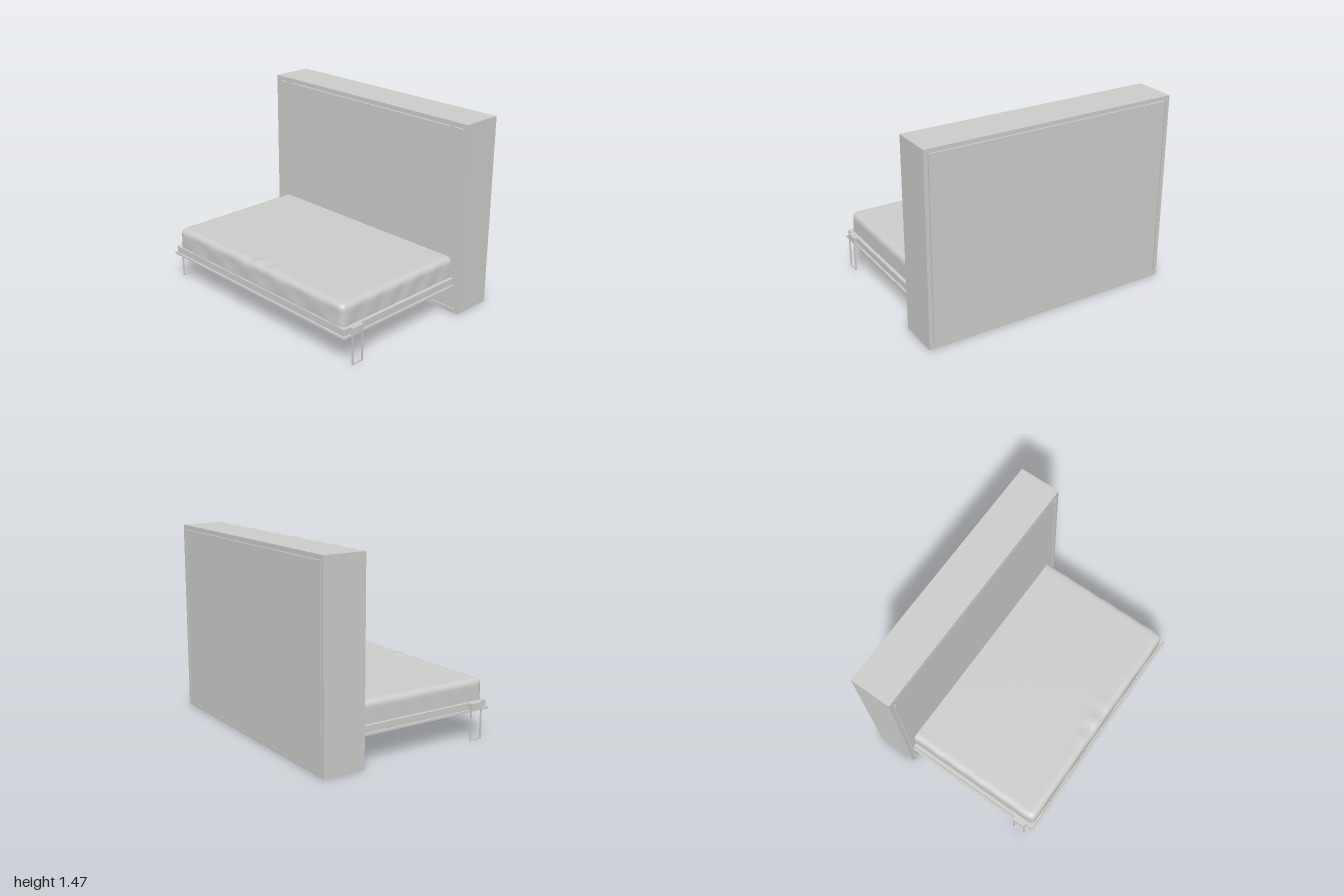
import * as THREE from 'three';
import { mergeVertices } from 'three/addons/utils/BufferGeometryUtils.js';

const paint = new THREE.MeshStandardMaterial({ color: 0xcbcbc9 });
paint.name = 'light grey';

// Box given by its lower and upper bounds on each axis
function slab(parent, name, [x0, x1], [y0, y1], [z0, z1]) {
  const mesh = new THREE.Mesh(new THREE.BoxGeometry(x1 - x0, y1 - y0, z1 - z0), paint);
  mesh.position.set((x0 + x1) / 2, (y0 + y1) / 2, (z0 + z1) / 2);
  mesh.name = name;
  parent.add(mesh);
  return mesh;
}

// Bounds on x, mirrored to the given side
const sideSpan = (s, a, b) => (s > 0 ? [a, b] : [-b, -a]);

// Soft box: edges rounded by a clamp rule, with slight creases in the cloth
function mattressGeometry() {
  const hx = 0.915, y0 = 0.24, y1 = 0.44, z0 = -0.45, z1 = 0.71, r = 0.045;
  const box = new THREE.BoxGeometry(2 * hx, y1 - y0, z1 - z0, 96, 16, 64);
  box.deleteAttribute('uv');
  box.deleteAttribute('normal');
  const geo = mergeVertices(box, 1e-5);
  const pos = geo.attributes.position;
  const p = new THREE.Vector3(), core = new THREE.Vector3(), d = new THREE.Vector3();
  const mid = new THREE.Vector3(0, (y0 + y1) / 2, (z0 + z1) / 2);
  for (let i = 0; i < pos.count; i++) {
    p.fromBufferAttribute(pos, i).add(mid);
    core.set(
      THREE.MathUtils.clamp(p.x, -hx + r, hx - r),
      Math.min(p.y, y1 - r),
      Math.min(p.z, z1 - r));
    d.subVectors(p, core);
    if (d.length() > 1e-6) {
      // spread the corner samples evenly before projecting to the round
      const m = Math.max(Math.abs(d.x), Math.abs(d.y), Math.abs(d.z));
      p.copy(core).add(d.setLength(m));
    }
    const front = Math.exp(-(((p.z - 0.65) / 0.06) ** 2));
    const middle = Math.exp(-((p.x / 0.18) ** 2));
    if (p.y > y1 - r) p.y += front * (0.002 + 0.006 * middle * Math.cos(p.x * 35));
    if (p.z > z1 - r) p.z += 0.003 * Math.sin(p.x * 17) * Math.sin(p.y * 30);
    if (Math.abs(p.x) > hx - r) p.x += Math.sign(p.x) * 0.002 * Math.sin(p.z * 31 + p.y * 20);
    pos.setXYZ(i, p.x, p.y, p.z);
  }
  geo.computeVertexNormals();
  return geo;
}

// Flat U-shaped folding leg: outline with a long opening, standing in the yz plane
function legGeometry() {
  const shape = new THREE.Shape([[0.56, 0], [0.663, 0], [0.663, 0.28], [0.56, 0.28]]
    .map(([z, y]) => new THREE.Vector2(-z, y)));
  shape.holes.push(new THREE.Path([[0.569, 0.009], [0.569, 0.235], [0.654, 0.235], [0.654, 0.009]]
    .map(([z, y]) => new THREE.Vector2(-z, y))));
  const geo = new THREE.ExtrudeGeometry(shape, { depth: 0.01, bevelEnabled: false });
  return geo.rotateY(Math.PI / 2);
}

export function createModel() {
  const model = new THREE.Group();
  model.name = 'foldingWallBed';

  // Cabinet shell
  const cabinet = new THREE.Group();
  cabinet.name = 'cabinet';
  model.add(cabinet);
  const depth = [-0.735, -0.41];
  for (const s of [-1, 1]) slab(cabinet, 'sidePanel', sideSpan(s, 0.97, 1), [0, 1.47], depth);
  slab(cabinet, 'topPanel', [-0.97, 0.97], [1.44, 1.47], depth);
  slab(cabinet, 'bottomPanel', [-0.97, 0.97], [0, 0.033], depth);
  slab(cabinet, 'backPanel', [-0.97, 0.97], [0.033, 1.44], [-0.72, -0.7]);
  slab(cabinet, 'backCover', [-0.962, 0.962], [0, 1.432], [-0.734, -0.72]);

  // Front panel, separated from the shell by a narrow gap
  slab(cabinet, 'frontPanel', [-0.957, 0.957], [0.037, 1.429], [-0.43, -0.411]);
  slab(cabinet, 'gapBacking', [-0.97, 0.97], [0.033, 1.44], [-0.445, -0.43]);
  for (const s of [-1, 1]) {
    slab(cabinet, 'gapBridge', sideSpan(s, 0.845, 0.875), [1.429, 1.44], [-0.43, -0.411]);
    slab(cabinet, 'catchPlate', sideSpan(s, 0.945, 0.96), [1.29, 1.38], [-0.411, -0.404]);
  }

  // Bed base
  const bed = new THREE.Group();
  bed.name = 'bed';
  model.add(bed);
  slab(bed, 'baseBoard', [-0.957, 0.957], [0.215, 0.23], [-0.42, 0.735]);
  slab(bed, 'platform', [-0.92, 0.92], [0.23, 0.265], [-0.42, 0.7]);
  slab(bed, 'frontRail', [-0.942, 0.942], [0.23, 0.28], [0.695, 0.72]);
  for (const s of [-1, 1]) {
    slab(bed, 'sideRail', sideSpan(s, 0.915, 0.942), [0.23, 0.28], [-0.42, 0.695]);
  }

  // Mattress
  const mattress = new THREE.Mesh(mattressGeometry(), paint);
  mattress.name = 'mattress';
  bed.add(mattress);

  // Folding legs with pivots
  const legShape = legGeometry();
  for (const s of [-1, 1]) {
    const leg = new THREE.Mesh(legShape, paint);
    leg.name = 'foldingLeg';
    leg.position.x = s > 0 ? 0.957 : -0.967;
    bed.add(leg);
    slab(bed, 'legBracket', sideSpan(s, 0.942, 0.957), [0.232, 0.28], [0.56, 0.663]);
    const pivot = new THREE.Mesh(new THREE.CylinderGeometry(0.007, 0.007, 0.03, 16), paint);
    pivot.name = 'legPivot';
    pivot.rotation.z = Math.PI / 2;
    pivot.position.set(s * 0.957, 0.245, 0.645);
    bed.add(pivot);
  }
  return model;
}
